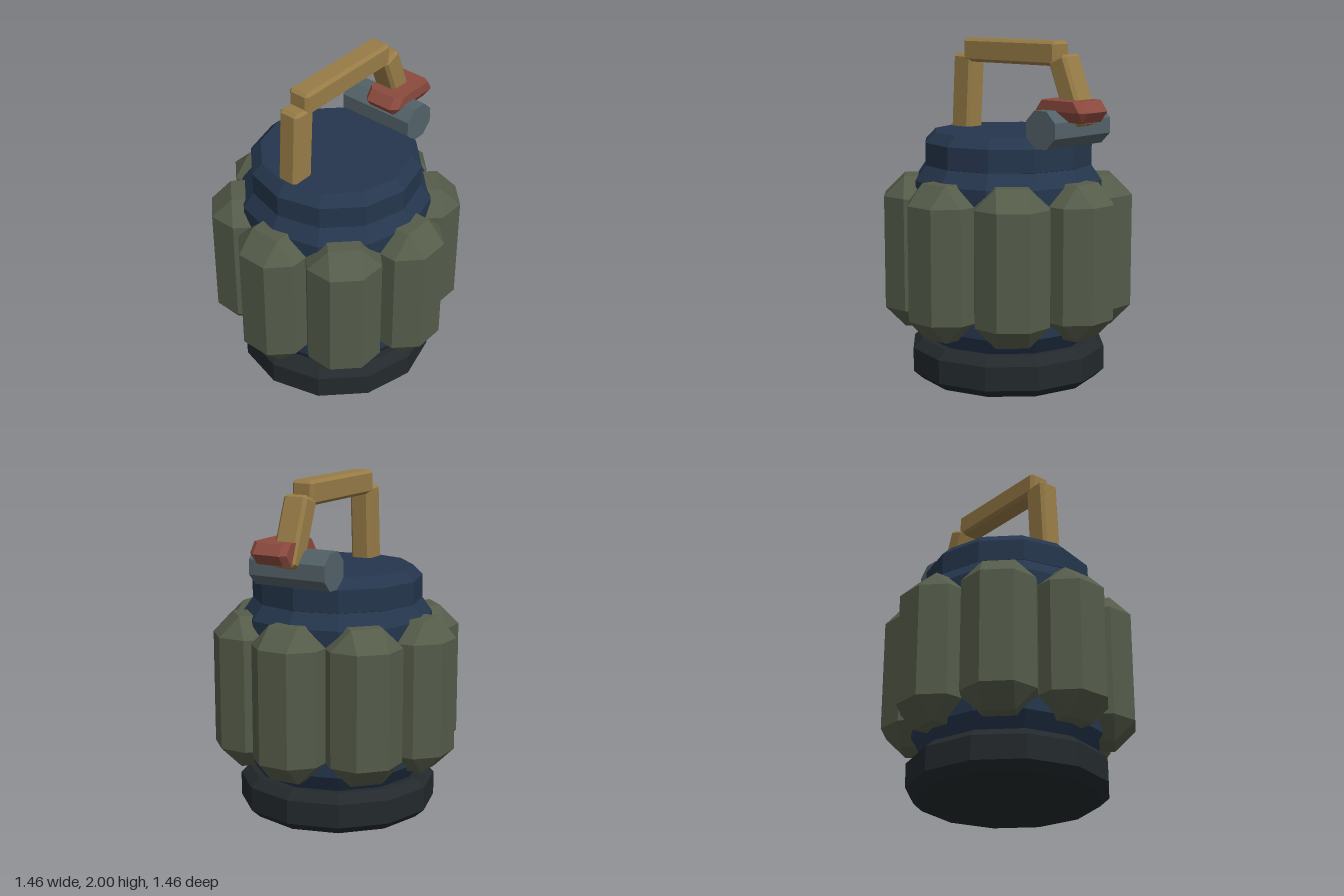
import * as THREE from 'three';
import { ConvexGeometry } from 'three/addons/geometries/ConvexGeometry.js';

const material = (color) => new THREE.MeshStandardMaterial({ color, flatShading: true });
const navy = material(0x25364d), olive = material(0x555c4a), tan = material(0x987c47);
const red = material(0x8c4a3e), steel = material(0x536268), black = material(0x23292c);

// Box with every edge cut off by c
function chamferBox(w, h, d, c) {
  const points = [];
  for (const sx of [-1, 1]) for (const sy of [-1, 1]) for (const sz of [-1, 1]) {
    const x = w / 2, y = h / 2, z = d / 2;
    points.push(
      new THREE.Vector3(sx * x, sy * (y - c), sz * (z - c)),
      new THREE.Vector3(sx * (x - c), sy * y, sz * (z - c)),
      new THREE.Vector3(sx * (x - c), sy * (y - c), sz * z));
  }
  return new ConvexGeometry(points);
}

// Faceted turned solid from [radius, height] pairs, bottom to top
function turned(profile, sides = 12) {
  const points = profile.map(([r, y]) => new THREE.Vector2(r, y));
  return new THREE.LatheGeometry(points, sides);
}

export function createModel() {
  const model = new THREE.Group();
  const add = (name, geometry, mat, parent = model) => {
    const mesh = new THREE.Mesh(geometry, mat);
    mesh.name = name;
    parent.add(mesh);
    return mesh;
  };

  // Base, body and lid
  add('base', turned([[0, 0], [0.53, 0], [0.585, 0.05], [0.585, 0.19], [0.53, 0.24], [0, 0.24]]), black);
  add('body', turned([[0, 0.22], [0.48, 0.23], [0.56, 0.34], [0.56, 1.19], [0.49, 1.29], [0, 1.29]]), navy);
  add('lid', turned([[0, 1.24], [0.46, 1.24], [0.5, 1.28], [0.5, 1.41], [0.44, 1.47], [0, 1.47]]), navy);

  // Eight upright blocks around the body
  const blocks = new THREE.Group();
  blocks.name = 'fragmentBlocks';
  model.add(blocks);
  const blockShape = chamferBox(0.42, 0.9, 0.42, 0.118);
  for (let i = 0; i < 8; i++) {
    const a = i * Math.PI / 4;
    const block = add('fragmentBlock', blockShape, olive, blocks);
    block.position.set(Math.sin(a) * 0.518, 0.76, Math.cos(a) * 0.518);
    block.rotation.y = a;
  }

  // Handle: bar and two posts, each laid between two points in the xy plane
  const handle = new THREE.Group();
  handle.name = 'handle';
  model.add(handle);
  const beam = (name, x0, y0, x1, y1, width, depth) => {
    const mesh = add(name, chamferBox(width, Math.hypot(x1 - x0, y1 - y0), depth, 0.018), tan, handle);
    mesh.position.set((x0 + x1) / 2, (y0 + y1) / 2, -0.005);
    mesh.rotation.z = Math.atan2(x0 - x1, y1 - y0);
  };
  beam('handleBar', -0.31, 1.93, 0.41, 1.93, 0.14, 0.135);
  beam('handleLeftPost', -0.345, 1.42, -0.318, 1.905, 0.15, 0.13);
  beam('handleRightPost', 0.42, 1.91, 0.57, 1.53, 0.13, 0.15);

  // Hexagonal clip on the slanted post, narrowing at its ends
  const clipPoints = [];
  for (const [z, inset] of [[-0.068, 0.035], [-0.04, 0], [0.125, 0], [0.165, 0.035]]) {
    for (const s of [-1, 1]) {
      clipPoints.push(new THREE.Vector3(0.52 + s * (0.19 - inset), 1.62, z));
      clipPoints.push(new THREE.Vector3(0.52 + s * (0.145 - inset), 1.68, z));
      if (z < 0.15) clipPoints.push(new THREE.Vector3(0.52 + s * (0.145 - inset), 1.56, z));
    }
  }
  add('clip', new ConvexGeometry(clipPoints), red);

  // Hinge pin lying front to back
  const pin = add('hingePin', new THREE.CylinderGeometry(0.115, 0.115, 0.485, 8), steel);
  pin.rotation.set(Math.PI / 2, Math.PI / 8, 0);
  pin.position.set(0.465, 1.52, 0);

  return model;
}
